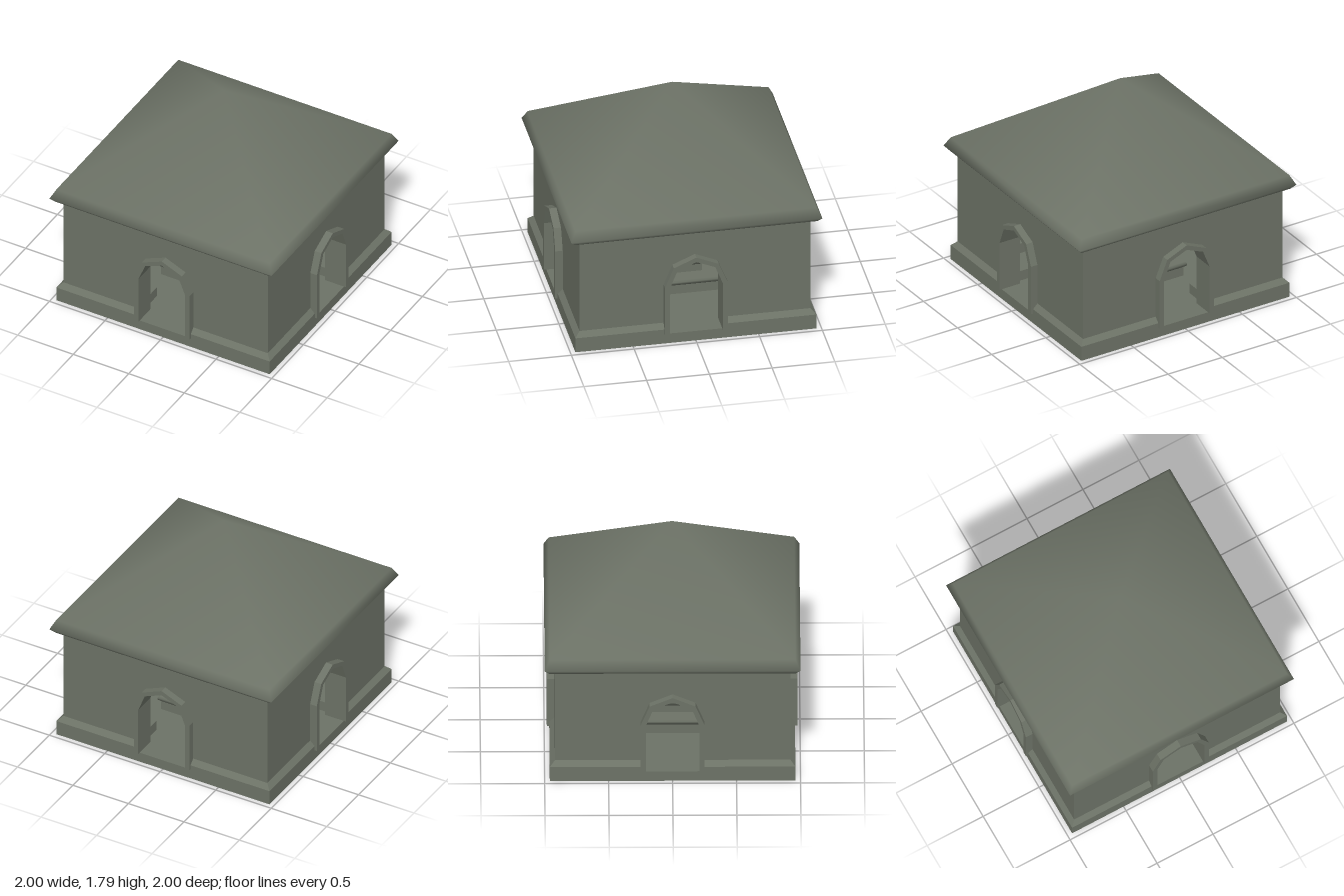
import * as THREE from 'three';

const stone = new THREE.MeshStandardMaterial({ color: 0x6c7266 });
stone.name = 'grey green stone';

function add(parent, geometry, name) {
  const mesh = new THREE.Mesh(geometry, stone);
  mesh.name = name;
  parent.add(mesh);
  return mesh;
}

function box(parent, name, w, d, y0, y1, x = 0, z = 0) {
  add(parent, new THREE.BoxGeometry(w, y1 - y0, d), name).position.set(x, (y0 + y1) / 2, z);
}

// Four-sided ring with smooth normals; profile holds half widths and heights
function squareLathe(profile) {
  const pts = profile.map(([h, y]) => new THREE.Vector2(h * Math.SQRT2, y));
  return new THREE.LatheGeometry(pts, 4, Math.PI / 4);
}

const FLOOR = 0.085;
const arch = (w, spring, mid, midY, top) => [
  [w, FLOOR], [w, spring], [mid, midY], [0, top], [-mid, midY], [-w, spring], [-w, FLOOR],
];
const OUTER = arch(0.25, 0.51, 0.18, 0.68, 0.757);
const INNER = arch(0.21, 0.505, 0.15, 0.655, 0.717);
const toShape = (points) => new THREE.Shape(points.map(([x, y]) => new THREE.Vector2(x, y)));

function extrude(points, depth, z) {
  const g = new THREE.ExtrudeGeometry(toShape(points), { depth, bevelEnabled: false });
  return g.translate(0, 0, z);
}

// Sloped footing beside a doorway, mitred at the building corner
function footing(side) {
  const start = 0.23;
  const section = [[0.91, 0.08], [0.96, 0.08], [0.96, 0.125], [0.92, 0.165], [0.91, 0.165]];
  const g = new THREE.ExtrudeGeometry(toShape(section), { depth: 1, bevelEnabled: false });
  const p = g.attributes.position;
  for (let i = 0; i < p.count; i++) {
    const out = p.getX(i), far = p.getZ(i) > 0.5;
    const along = far ? out : start;
    p.setXYZ(i, side * along, p.getY(i), out);
  }
  // The axis swap mirrors the left-hand piece, so reverse its corners
  if (side > 0) {
    for (let i = 0; i < p.count; i += 3) {
      const a = new THREE.Vector3().fromBufferAttribute(p, i);
      p.setXYZ(i, p.getX(i + 1), p.getY(i + 1), p.getZ(i + 1));
      p.setXYZ(i + 1, a.x, a.y, a.z);
    }
  }
  g.computeVertexNormals();
  return g;
}

function createSide() {
  const side = new THREE.Group();
  // Wall notched by the doorway
  const wall = [[-0.92, FLOOR], [-0.92, 1.01], [0.92, 1.01], [0.92, FLOOR], ...INNER];
  add(side, extrude(wall, 0.13, 0.79), 'wall');
  // Projecting surround
  add(side, extrude([...OUTER, ...[...INNER].reverse()], 0.08, 0.9), 'doorSurround');
  add(side, footing(1), 'leftFooting');
  add(side, footing(-1), 'rightFooting');
  // Thin skirt around the recessed underside
  box(side, 'skirt', 1.92, 0.008, 0, FLOOR, 0, 0.956);
  // Low benches against the inside of the wall
  for (const x of [-1, 1]) box(side, 'bench', 0.54, 0.17, FLOOR, 0.17, x * 0.52, 0.705);
  return side;
}

// Roof whose shading runs smoothly over the peak
function roofGeometry() {
  const g = squareLathe([[0.92, 1.003], [0.965, 0.97], [1, 1.01], [0.96, 1.09], [0, 1.79]]);
  const { position, normal } = g.attributes;
  for (let i = 0; i < position.count; i++) {
    if (position.getY(i) > 1.7) normal.setXYZ(i, 0, 1, 0);
  }
  return g;
}

// Moulding with a rounded edge, from a square ring stretched to w by d
function moulding(parent, name, w, d, y0, y1) {
  const h = y1 - y0;
  const ring = squareLathe([
    [0, y0], [0.48, y0], [0.5, y0 + h * 0.35], [0.5, y0 + h * 0.7], [0.485, y1], [0, y1],
  ]);
  add(parent, ring.scale(w, 1, d), name);
}

export function createModel() {
  const model = new THREE.Group();
  model.name = 'squareShrine';

  // Floor raised above the bottom of the skirt
  box(model, 'floorSlab', 1.91, 1.91, 0.06, FLOOR);

  for (let i = 0; i < 4; i++) {
    const side = createSide();
    side.name = 'wallSide' + (i + 1);
    side.rotation.y = (i * Math.PI) / 2;
    model.add(side);
  }

  add(model, roofGeometry(), 'roof');
  box(model, 'ceiling', 1.6, 1.6, 0.97, 1);

  // Stepped pedestal inside
  const pedestal = new THREE.Group();
  pedestal.name = 'pedestal';
  model.add(pedestal);
  box(pedestal, 'pedestalBase', 0.72, 0.72, FLOOR, 0.17);
  moulding(pedestal, 'lowerMoulding', 0.76, 0.76, 0.165, 0.21);
  box(pedestal, 'pedestalBody', 0.5, 0.38, 0.2, 0.28);
  moulding(pedestal, 'upperMoulding', 0.54, 0.44, 0.275, 0.32);
  moulding(pedestal, 'pedestalTop', 0.5, 0.38, 0.31, 0.355);

  // Gabled crosspiece and tapering square pillar
  const gable = [[-0.12, 0.35], [0.12, 0.35], [0.1, 0.46], [0, 0.5], [-0.1, 0.46]];
  add(pedestal, extrude(gable, 0.5, -0.25).rotateY(Math.PI / 2), 'crosspiece');
  const pillar = squareLathe([[0.108, 0.35], [0.093, 0.97]]).toNonIndexed();
  pillar.computeVertexNormals();
  add(pedestal, pillar, 'pillar');
  return model;
}
